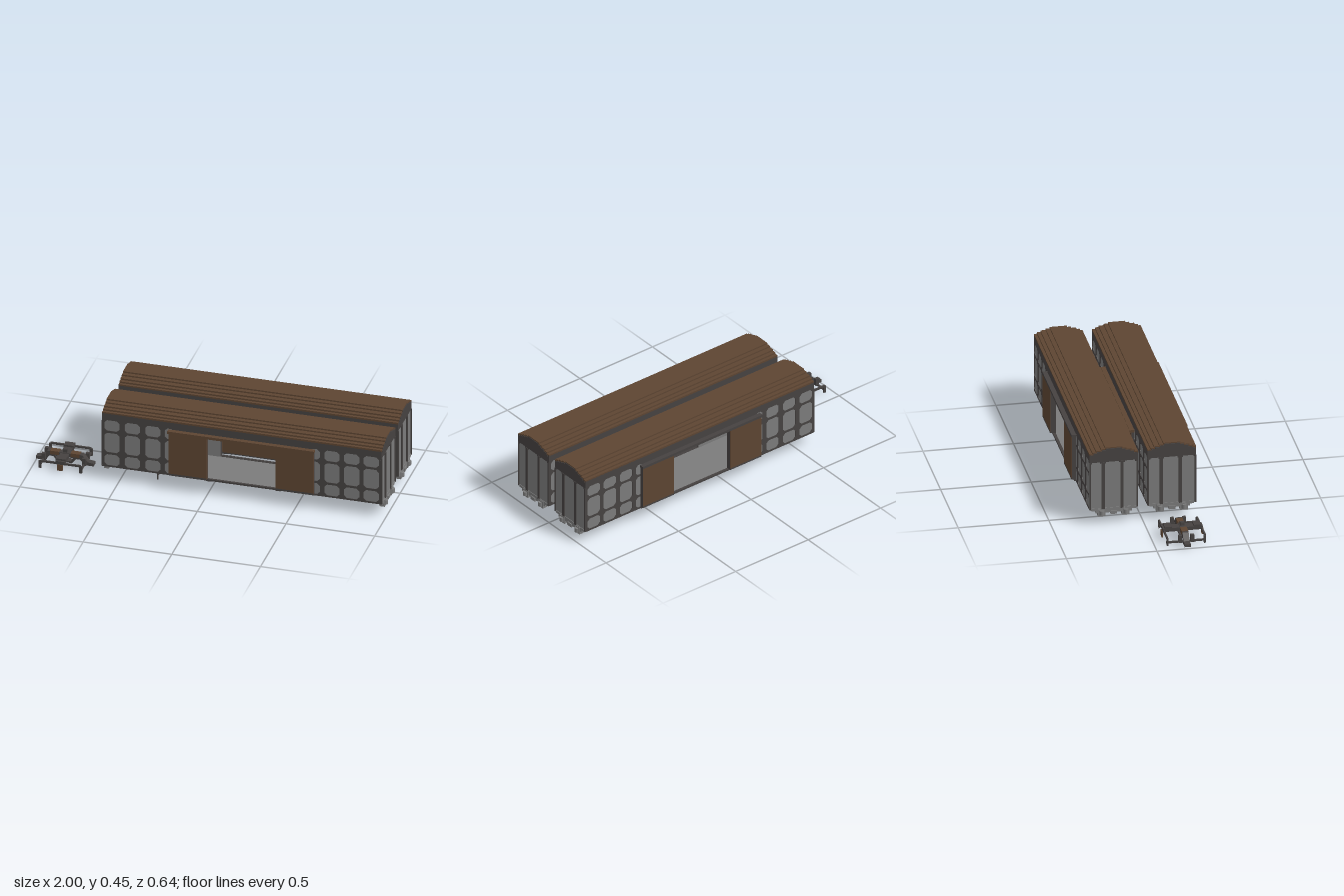
import * as THREE from 'three';

const mat = (name, color) => {
  const m = new THREE.MeshStandardMaterial({ color });
  m.name = name;
  return m;
};
const brown = mat('rust brown', 0x5d4532);
const dark = mat('dark frame', 0x464241);
const grey = mat('panel grey', 0x7b7b7b);

function add(parent, name, geo, material) {
  const m = new THREE.Mesh(geo, material);
  m.name = name;
  parent.add(m);
  return m;
}

// Box given by its limits on each axis
function box(parent, name, material, [x0, x1], [y0, y1], [z0, z1]) {
  const m = add(parent, name, new THREE.BoxGeometry(x1 - x0, y1 - y0, z1 - z0), material);
  m.position.set((x0 + x1) / 2, (y0 + y1) / 2, (z0 + z1) / 2);
  return m;
}

const vectors = (pts) => pts.map((p) => new THREE.Vector2(...p));

// Window outline with chamfered corners
const chamfered = ([a, b], [c, d], k) => vectors([
  [a + k, c], [b - k, c], [b, c + k], [b, d - k], [b - k, d], [a + k, d], [a, d - k], [a, c + k]]);

const X0 = -0.595, X1 = 0.98, HALF = 0.134, WALL = 0.006;
const ROWS = [[0.093, 0.16], [0.173, 0.292], [0.305, 0.37]];
const STEPS = [[0.134, 0.408], [0.134, 0.418], [0.118, 0.418], [0.118, 0.427], [0.098, 0.427],
  [0.098, 0.436], [0.07, 0.436], [0.07, 0.444], [0.047, 0.444], [0.047, 0.452]];

function extrudeX(pts, x0, x1) {
  const g = new THREE.ExtrudeGeometry(new THREE.Shape(vectors(pts)), { depth: x1 - x0, bevelEnabled: false });
  return g.rotateY(Math.PI / 2).translate(x0, 0, 0);
}

const mirrored = (pts) => [...pts, ...pts.slice().reverse().map(([z, y]) => [-z, y])];

// One long side facing +z; open sides have no middle door
function side(open, edge, track) {
  const g = new THREE.Group();
  g.name = open ? 'openSide' : 'closedSide';
  const z = HALF, zi = HALF - WALL;

  // Dark wall frame with cut-out bays over a grey lining
  const bays = [
    [X0, 0, [[-0.583, -0.497], [-0.468, -0.382], [-0.353, -0.267], [-0.243, -0.19]]],
    [0.39, X1, [[0.58, 0.632], [0.657, 0.743], [0.768, 0.854], [0.878, 0.964]]],
  ];
  for (const [a, b, columns] of bays) {
    const wall = new THREE.Shape(vectors([[a, 0.083], [b, 0.083], [b, 0.41], [a, 0.41]]));
    for (const c of columns) for (const r of ROWS)
      wall.holes.push(new THREE.Path(chamfered(c, r, 0.015)));
    const geo = new THREE.ExtrudeGeometry(wall, { depth: WALL, bevelEnabled: false });
    add(g, 'sideFrame', geo, dark).position.z = zi;
    box(g, 'wallPanels', grey, [a + 0.006, b - 0.004], [0.09, 0.40], [zi - 0.003, zi + 0.003]);
  }
  box(g, 'topRail', dark, [0, 0.39], [0.355, 0.41], [zi, z]);
  box(g, 'bottomSill', dark, [0, 0.39], [0.083, 0.095], [zi, z]);

  // Sliding doors and their track
  const d = z + (open ? 0.025 : 0.017);
  for (const [a, b] of [[-0.215, 0], [0.39, 0.602]]) {
    box(g, 'doorBacking', dark, [a, b], [0.097, 0.351], [z, z + 0.008]);
    box(g, 'doorCore', edge, [a, b], [0.097, 0.351], [z + 0.008, d - 0.002]);
    box(g, 'doorFace', brown, [a, b], [0.107, 0.351], [d - 0.002, d]);
    box(g, 'doorFoot', dark, [a, b], [0.097, 0.107], [d - 0.002, d]);
  }
  box(g, 'doorTrack', track, [-0.222, 0.605], [0.351, 0.366], [z, z + 0.026]);
  box(g, 'lowerTrack', dark, [-0.215, 0.602], [0.087, 0.097], [z, z + 0.01]);
  if (!open)
    add(g, 'middleDoor', new THREE.PlaneGeometry(0.39, 0.254), brown).position.set(0.195, 0.224, d);
  return g;
}

// End wall facing +x, built around x = 0
function endWall() {
  const g = new THREE.Group();
  g.name = 'endWall';
  box(g, 'endPanel', grey, [-0.008, -0.003], [0.083, 0.366], [-HALF, HALF]);
  box(g, 'endHeader', dark, [-0.008, 0], [0.366, 0.412], [-HALF, HALF]);
  for (const [a, b] of [[-0.134, -0.126], [-0.054, -0.038], [0.05, 0.067], [0.126, 0.134]]) {
    box(g, 'endPost', dark, [-0.008, 0.003], [0.085, 0.366], [a, b]);
    box(g, 'postBracket', dark, [-0.008, 0], [0.358, 0.366], [Math.max(a - 0.007, -HALF), Math.min(b + 0.007, HALF)]);
  }
  const gable = STEPS.map(([z, y]) => [z * 0.94, y - 0.007]);
  add(g, 'gable', extrudeX(mirrored(gable), -0.006, 0.002), dark);

  // Headstock, square buffers and coupling
  box(g, 'headstock', grey, [-0.03, 0], [0.077, 0.088], [-0.123, 0.123]);
  box(g, 'headstockStep', grey, [-0.03, 0], [0.064, 0.077], [-0.1, 0.1]);
  box(g, 'coupling', grey, [-0.04, 0.006], [0.055, 0.075], [-0.018, 0.018]);
  for (const z of [-0.066, 0.066]) {
    box(g, 'bufferMount', grey, [-0.025, 0.004], [0.045, 0.088], [z - 0.021, z + 0.021]);
    add(g, 'bufferHead', new THREE.CylinderGeometry(0.014, 0.014, 0.025, 16), grey)
      .position.set(0.003, 0.067, z);
  }
  return g;
}

function wagon(frontOpen) {
  const g = new THREE.Group();
  g.name = 'wagon';
  const front = side(frontOpen, brown, brown);
  const back = side(!frontOpen, dark, frontOpen ? brown : dark);
  // The rear side mirrors the front, keeping the door bay position
  back.scale.z = -1;
  g.add(front, back);

  const e1 = endWall(), e0 = endWall();
  e1.position.x = X1;
  e0.position.x = X0;
  e0.rotation.y = Math.PI;
  g.add(e1, e0);

  // Hollow stepped roof with lengthwise ribs
  const inner = STEPS.map(([z, y]) => [z - 0.006, y - 0.006]).reverse();
  const outline = [...STEPS, ...STEPS.slice().reverse().map(([z, y]) => [-z, y]),
    ...inner.slice().reverse().map(([z, y]) => [-z, y]), ...inner];
  add(g, 'roof', extrudeX(outline, X0, X1), brown);
  for (const z of [-0.11, -0.085, -0.058, 0.058, 0.085, 0.11])
    box(g, 'ceilingRib', brown, [X0 + 0.01, X1 - 0.01], [0.405, 0.416], [z - 0.004, z + 0.004]);

  // Floor and underframe
  box(g, 'floor', grey, [X0, X1], [0.082, 0.092], [-0.128, 0.128]);
  for (const z of [-0.1, -0.035, 0.035, 0.1])
    box(g, 'underBeam', grey, [X0 + 0.02, X1 - 0.02], [0.074, 0.082], [z - 0.01, z + 0.01]);
  for (const x of [0, 0.39])
    box(g, 'crossBeam', dark, [x - 0.015, x + 0.015], [0.07, 0.082], [-0.12, 0.12]);
  return g;
}

function bogie() {
  const g = new THREE.Group();
  g.name = 'bogie';
  // Side frames with end plates
  for (const s of [-1, 1]) {
    const zr = (a, b) => (s > 0 ? [a, b] : [-b, -a]);
    box(g, 'sideBar', dark, [-0.115, 0.115], [0.045, 0.056], zr(0.1, 0.109));
    for (const x of [-0.115, 0.115]) {
      box(g, 'axleGuard', dark, [x - 0.008, x + 0.008], [0.008, 0.05], zr(0.098, 0.108));
      box(g, 'axleBlock', dark, [x - 0.01, x + 0.01], [0.02, 0.062], zr(0.024, 0.043));
    }
    box(g, 'sidePlate', brown, [-0.015, 0.015], [0.01, 0.045], zr(0.107, 0.115));
    box(g, 'bolsterPad', dark, [-0.028, 0.028], [0.06, 0.075], zr(0.06, 0.1));
  }
  box(g, 'bolster', dark, [-0.025, 0.025], [0.045, 0.065], [-0.11, 0.11]);
  for (const x of [-0.115, 0.115])
    box(g, 'crossRod', dark, [x - 0.005, x + 0.005], [0.02, 0.03], [-0.11, 0.11]);

  // Central arched spine
  const half = [[0.04, 0.012], [0.065, 0.04], [0.088, 0.04], [0.1, 0.025], [0.105, 0.01], [0.163, 0.01],
    [0.163, 0.026], [0.13, 0.03], [0.1, 0.068]];
  const s = new THREE.Shape(vectors(mirrored(half)));
  const slot = [[-0.035, 0.022], [-0.055, 0.044], [0.055, 0.044], [0.035, 0.022]];
  s.holes.push(new THREE.Path(vectors(slot)));
  add(g, 'spine', new THREE.ExtrudeGeometry(s, { depth: 0.034, bevelEnabled: false }).translate(0, 0, -0.017), dark);
  for (const x of [-0.058, 0.058])
    box(g, 'spineCover', brown, [x - 0.026, x + 0.026], [0.05, 0.071], [-0.018, 0.018]);
  box(g, 'pivotPin', dark, [-0.011, 0.011], [0.065, 0.087], [-0.011, 0.011]);
  return g;
}

export function createModel() {
  const root = new THREE.Group();
  root.name = 'freightWagons';
  const near = wagon(true), far = wagon(false);
  near.position.z = 0.161;
  far.position.z = -0.16;
  const b = bogie();
  b.position.set(-0.837, 0, 0.17);
  root.add(near, far, b);

  // Loose bracket hanging under the near wagon
  const bracket = new THREE.Group();
  bracket.name = 'bracket';
  for (const z of [0.118, 0.212])
    box(bracket, 'bracketLeg', dark, [-0.308, -0.302], [0, 0.053], [z - 0.004, z + 0.004]);
  box(bracket, 'bracketBar', dark, [-0.308, -0.302], [0.022, 0.032], [0.118, 0.212]);
  root.add(bracket);
  return root;
}
